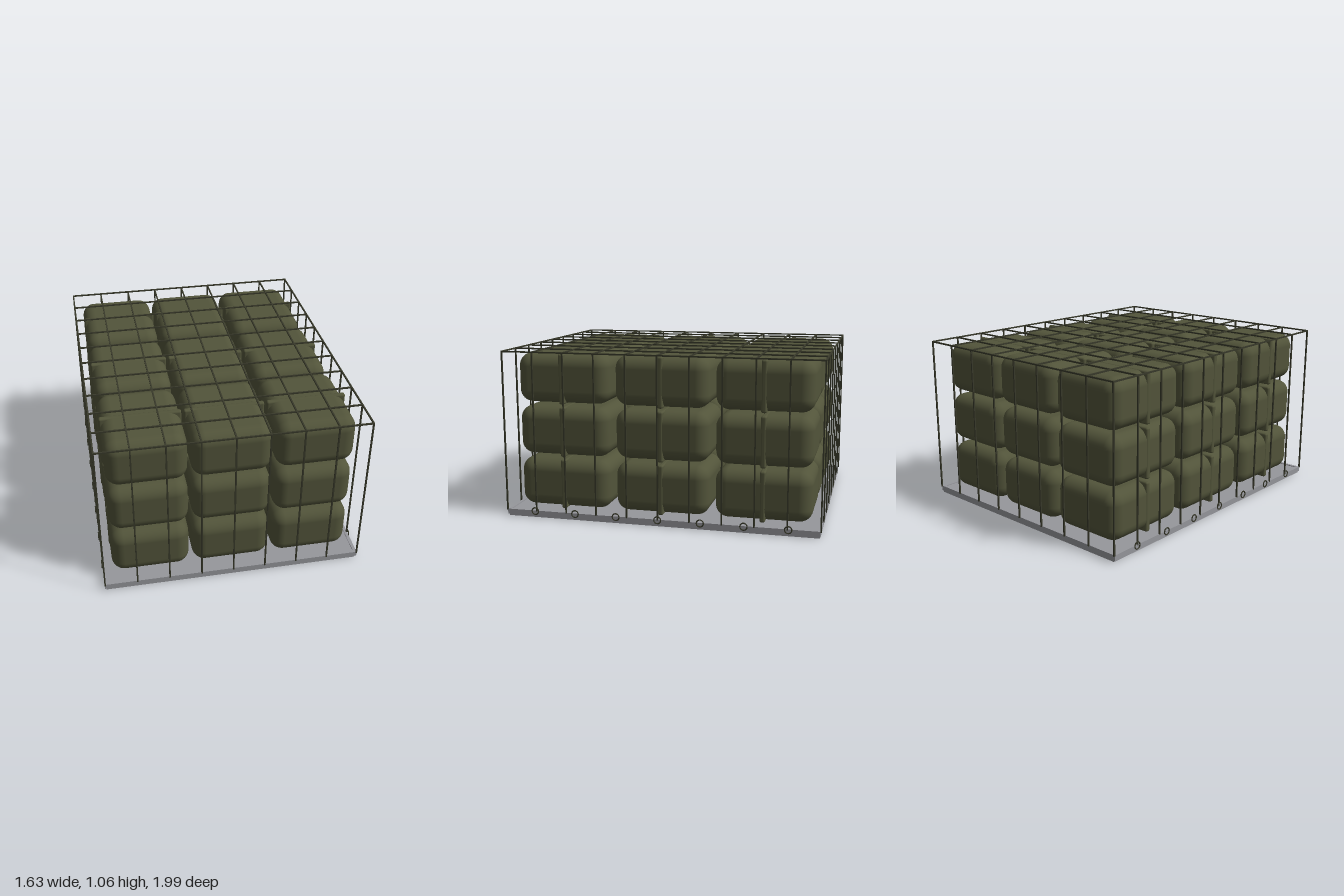
import * as THREE from 'three';
import { RoundedBoxGeometry } from 'three/addons/geometries/RoundedBoxGeometry.js';

export function createModel() {
  const root = new THREE.Group();
  root.name = 'nettedCargoPallet';
  const mat = (name, color) => {
    const m = new THREE.MeshStandardMaterial({ color });
    m.name = name;
    return m;
  };
  const canvas = mat('olive canvas', 0x52543a);
  const cord = mat('dark olive net cord', 0x38392a);
  const metal = mat('grey metal', 0x96979c);

  const add = (parent, name, geo, material, x, y, z) => {
    const mesh = new THREE.Mesh(geo, material);
    mesh.name = name;
    mesh.position.set(x, y, z);
    parent.add(mesh);
    return mesh;
  };
  const group = (name) => {
    const g = new THREE.Group();
    g.name = name;
    root.add(g);
    return g;
  };

  // Pallet: flat deck with a slightly wider edge rail
  const pallet = group('pallet');
  add(pallet, 'deck', new THREE.BoxGeometry(1.6, 0.04, 1.97), metal, 0, 0.02, 0);
  for (const s of [-1, 1]) {
    add(pallet, 'sideRail', new THREE.BoxGeometry(0.02, 0.033, 1.98), metal, s * 0.8, 0.0285, 0);
    add(pallet, 'endRail', new THREE.BoxGeometry(1.62, 0.033, 0.02), metal, 0, 0.0285, s * 0.98);
  }

  // Tie-down rings along both long edges
  const ringGeo = new THREE.TorusGeometry(0.022, 0.004, 6, 14);
  for (const s of [-1, 1])
    for (let i = 0; i < 7; i++)
      add(pallet, 'tieRing', ringGeo, cord, s * 0.812, 0.042, -0.8 + i * 0.267).rotation.y = Math.PI / 2;

  // Cargo: three layers of three by three bundles, each with a square-cornered band
  const cargo = group('cargo');
  const bundleGeo = new RoundedBoxGeometry(0.485, 0.31, 0.595, 5, 0.08);
  const bandGeo = new RoundedBoxGeometry(0.491, 0.316, 0.034, 3, 0.012);
  for (let ix = -1; ix <= 1; ix++)
    for (let iy = 0; iy < 3; iy++)
      for (let iz = -1; iz <= 1; iz++) {
        const bundle = new THREE.Group();
        bundle.name = 'bundle';
        bundle.position.set(ix * 0.506, 0.212 + iy * 0.334, iz * 0.632 - 0.002);
        add(bundle, 'bundleBody', bundleGeo, canvas, 0, 0, 0);
        add(bundle, 'bundleBand', bandGeo, canvas, 0, 0, 0);
        cargo.add(bundle);
      }

  // Net: square cords over the top, hanging straight down all four sides
  const net = group('net');
  const t = 0.009, X = 0.807, Z = 0.992, top = 1.051, low = 0.04;
  const drop = new THREE.BoxGeometry(t, top - low, t);
  const along = new THREE.BoxGeometry(t, t, 2 * Z + t);
  const across = new THREE.BoxGeometry(2 * X + t, t, t);
  const midY = (top + low) / 2;
  for (let i = 0; i <= 8; i++) {
    const x = -X + (i * X) / 4;
    add(net, 'lengthCord', along, cord, x, top, 0);
    for (const s of [-1, 1]) add(net, 'endCord', drop, cord, x, midY, s * Z);
  }
  for (let i = 0; i <= 10; i++) {
    const z = -Z + (i * Z) / 5;
    add(net, 'crossCord', across, cord, 0, top, z);
    if (i > 0 && i < 10)
      for (const s of [-1, 1]) add(net, 'sideCord', drop, cord, s * X, midY, z);
  }
  return root;
}
